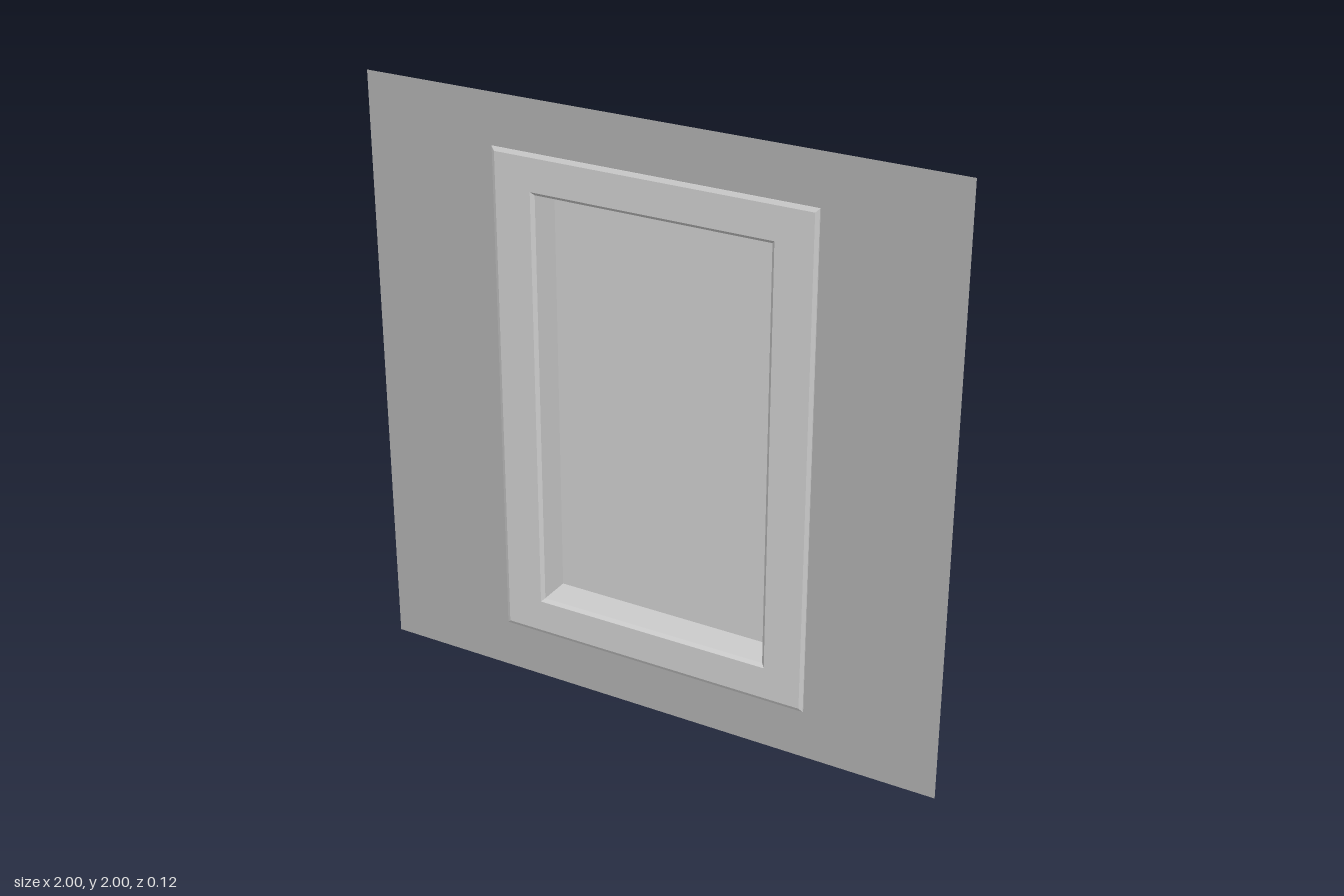
import * as THREE from 'three';

const CENTER_Y = 1;

function material(color) {
  return new THREE.MeshStandardMaterial({ color, flatShading: true, side: THREE.DoubleSide });
}

// Joins successive rectangles [halfWidth, halfHeight, z], listed from outside to inside
function rectangularLoft(name, sections) {
  const corners = ([w, h, z]) => [[-w, -h, z], [w, -h, z], [w, h, z], [-w, h, z]];
  const positions = [];
  for (let s = 0; s < sections.length - 1; s++) {
    const outer = corners(sections[s]);
    const inner = corners(sections[s + 1]);
    for (let i = 0; i < 4; i++) {
      const j = (i + 1) % 4;
      positions.push(...outer[i], ...outer[j], ...inner[j], ...outer[i], ...inner[j], ...inner[i]);
    }
  }
  const geometry = new THREE.BufferGeometry();
  geometry.setAttribute('position', new THREE.Float32BufferAttribute(positions, 3));
  geometry.computeVertexNormals();
  const mesh = new THREE.Mesh(geometry, material(0xcccccc));
  mesh.name = name;
  mesh.position.y = CENTER_Y;
  return mesh;
}

export function createModel() {
  const group = new THREE.Group();
  group.name = 'wallNiche';

  // Thin wall with an opening slightly larger than the recess
  const wall = rectangularLoft('wall', [[1, 1, 0.05], [0.455, 0.755, 0.05]]);
  wall.material = material(0xacacac);
  group.add(wall);

  // Raised trim with bevelled outer edge
  group.add(rectangularLoft('frame', [
    [0.547, 0.832, 0.05],
    [0.547, 0.832, 0.054],
    [0.535, 0.82, 0.06],
    [0.411, 0.711, 0.06],
  ]));

  // Recess walls, flaring out where they meet the trim
  group.add(rectangularLoft('recessSides', [
    [0.411, 0.711, 0.06],
    [0.4, 0.7, 0.05],
    [0.4, 0.7, -0.06],
  ]));

  // Flat back of the recess
  const back = new THREE.Mesh(new THREE.PlaneGeometry(0.8, 1.4), material(0xcccccc));
  back.name = 'recessBack';
  back.position.set(0, CENTER_Y, -0.06);
  group.add(back);

  return group;
}
